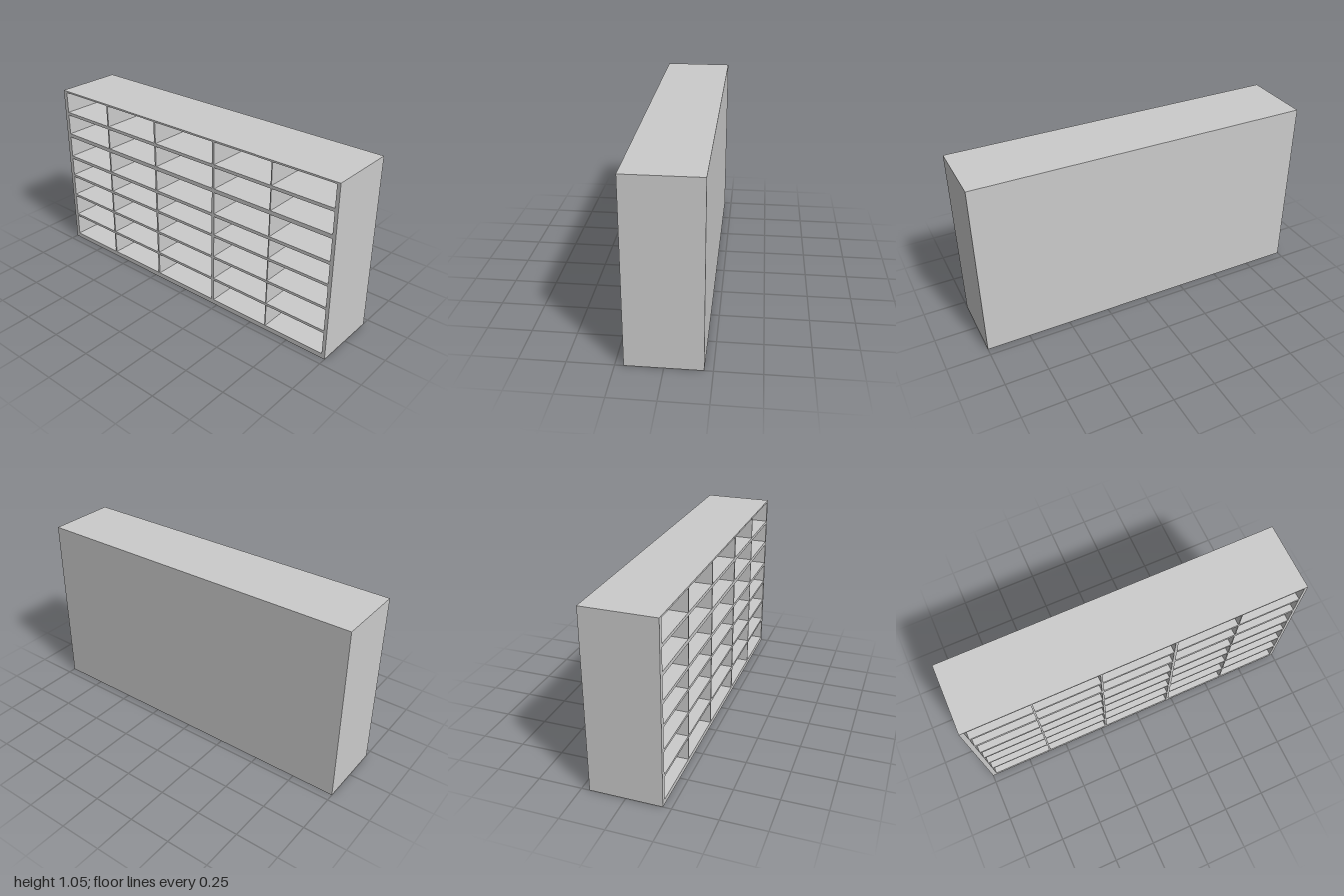
import * as THREE from 'three';

const HEIGHT = 1.047, DEPTH = 0.408, BACK = 0.02;

// Clear openings between uprights (x) and between shelves (y)
const COLUMNS = [[-0.973, -0.613], [-0.603, -0.223], [-0.212, 0.21], [0.226, 0.6], [0.606, 0.98]];
const ROWS = [[0.029, 0.165], [0.18, 0.314], [0.329, 0.457], [0.473, 0.588],
  [0.607, 0.738], [0.762, 0.888], [0.907, 1.037]];

// Adds a rectangle to a Shape or Path
function rect(path, x0, y0, x1, y1) {
  path.moveTo(x0, y0);
  path.lineTo(x1, y0);
  path.lineTo(x1, y1);
  path.lineTo(x0, y1);
  path.closePath();
  return path;
}

export function createModel() {
  const group = new THREE.Group();
  group.name = 'pigeonholeShelf';
  const material = new THREE.MeshStandardMaterial({ color: 0xcccccc });

  // Case, uprights and shelves as one board grid with a hole per compartment
  const outline = rect(new THREE.Shape(), -1, 0, 1, HEIGHT);
  for (const [x0, x1] of COLUMNS) {
    for (const [y0, y1] of ROWS) outline.holes.push(rect(new THREE.Path(), x0, y0, x1, y1));
  }
  const grid = new THREE.Mesh(
    new THREE.ExtrudeGeometry(outline, { depth: DEPTH - BACK, bevelEnabled: false }), material);
  grid.name = 'shelfGrid';
  grid.position.z = -DEPTH / 2 + BACK;
  group.add(grid);

  // Back panel closing the compartments
  const back = new THREE.Mesh(new THREE.BoxGeometry(2, HEIGHT, BACK), material);
  back.name = 'backPanel';
  back.position.set(0, HEIGHT / 2, -DEPTH / 2 + BACK / 2);
  group.add(back);

  return group;
}
